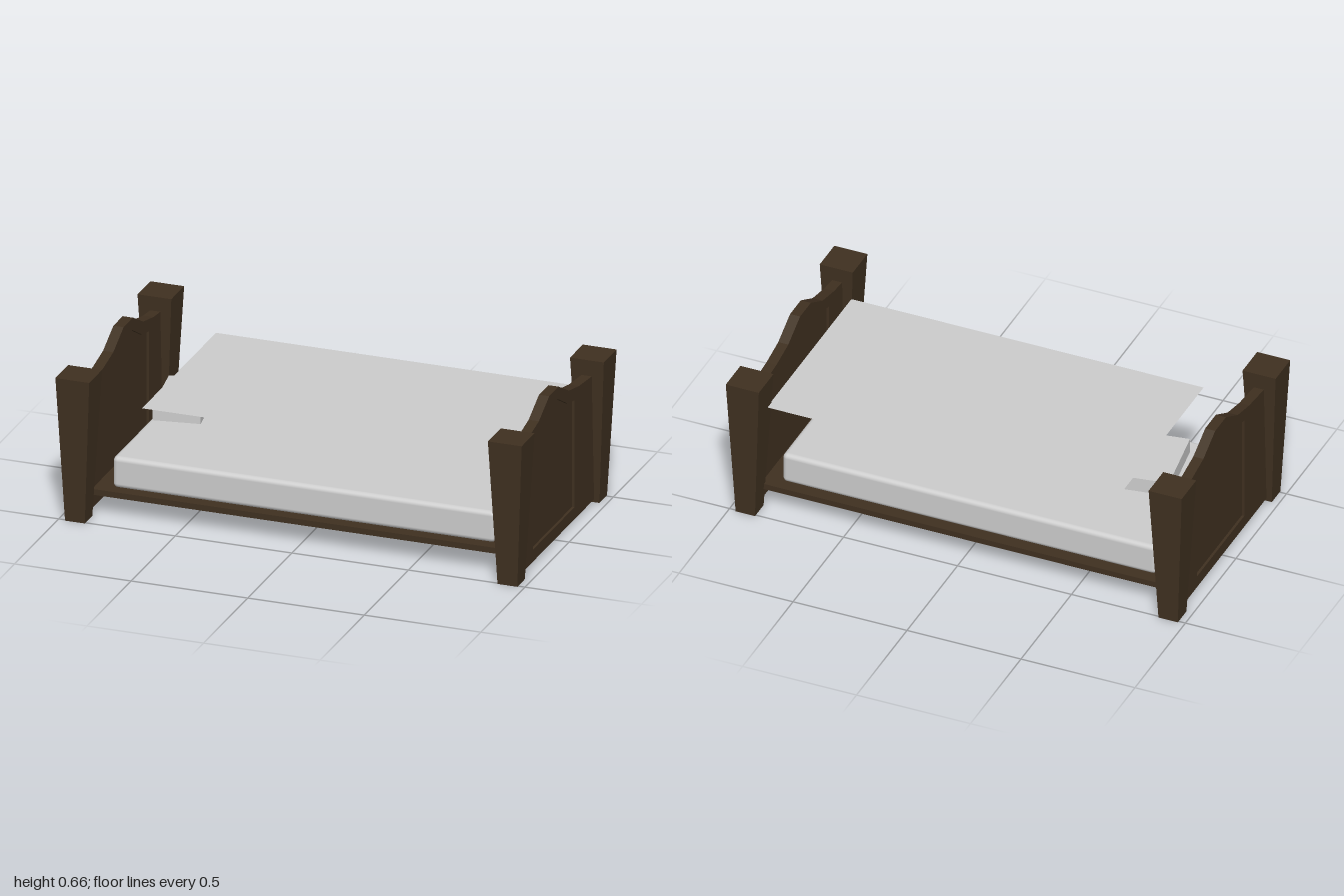
import * as THREE from 'three';
import { RoundedBoxGeometry } from 'three/addons/geometries/RoundedBoxGeometry.js';

const wood = new THREE.MeshStandardMaterial({ color: 0x3f3020, flatShading: true });
const grey = new THREE.MeshStandardMaterial({ color: 0xcccccc });
const greyThin = new THREE.MeshStandardMaterial({ color: 0xcccccc, side: THREE.DoubleSide });

function add(parent, name, geometry, material, x = 0, y = 0, z = 0) {
  const mesh = new THREE.Mesh(geometry, material);
  mesh.name = name;
  mesh.position.set(x, y, z);
  parent.add(mesh);
  return mesh;
}

// Symmetric outline: flat bottom, and a top edge given from the centre outwards
function archOutline(bottom, half) {
  const edge = half[half.length - 1][0];
  const left = [...half].reverse().map(([x, y]) => [-x, y]);
  return [[-edge, bottom], [edge, bottom], ...[...half].reverse(), ...left.reverse()]
    .map(([x, y]) => new THREE.Vector2(x, y));
}

// Extrude an outline along x, centred on its thickness
function slab(shape, depth) {
  return new THREE.ExtrudeGeometry(shape, { depth, bevelEnabled: false })
    .translate(0, 0, -depth / 2)
    .rotateY(-Math.PI / 2);
}

// Arched end board: a frame around a thinner recessed panel
function endBoard(name) {
  const board = new THREE.Group();
  board.name = name;
  const outer = archOutline(0.013, [[0.053, 0.66], [0.17, 0.597], [0.285, 0.572], [0.455, 0.555]]);
  const inner = archOutline(0.065, [[0.043, 0.61], [0.158, 0.545], [0.235, 0.53]]);
  const frame = new THREE.Shape(outer);
  frame.holes.push(new THREE.Path(inner));
  add(board, 'boardFrame', slab(frame, 0.044), wood);
  add(board, 'recessedPanel', slab(new THREE.Shape(inner), 0.022), wood);
  board.position.z = 0.0325;
  return board;
}

export function createModel() {
  const bed = new THREE.Group();
  bed.name = 'bed';

  for (const side of [-1, 1]) {
    // Each end is the other one turned half way round
    const end = new THREE.Group();
    end.name = side < 0 ? 'headEnd' : 'footEnd';
    const board = endBoard(side < 0 ? 'headboard' : 'footboard');
    board.position.x = 0.925;
    end.add(board);

    // Square posts tapering towards the floor
    for (const z of [-0.465, 0.465]) {
      const post = new THREE.CylinderGeometry(0.0725 * Math.SQRT2, 0.0425 * Math.SQRT2, 0.627, 4)
        .rotateY(Math.PI / 4);
      add(end, 'post', post, wood, 0.9275, 0.3135, z);
    }
    if (side < 0) end.rotation.y = Math.PI;
    bed.add(end);
  }

  // Base and mattress
  add(bed, 'base', new THREE.BoxGeometry(1.786, 0.025, 0.838), wood, 0, 0.0975, -0.012);
  add(bed, 'mattress', new RoundedBoxGeometry(1.64, 0.135, 0.755, 3, 0.02), grey, 0, 0.1775, -0.01);

  // Pillow, slightly turned, under a flat sheet
  const pillow = add(bed, 'pillow', new THREE.BoxGeometry(0.198, 0.062, 0.324), grey, -0.6525, 0.37, -0.01);
  pillow.rotation.y = 0.155;
  const sheet = new THREE.PlaneGeometry(1.545, 0.838).rotateX(-Math.PI / 2);
  add(bed, 'sheet', sheet, greyThin, 0.0925, 0.49, -0.017);

  return bed;
}
